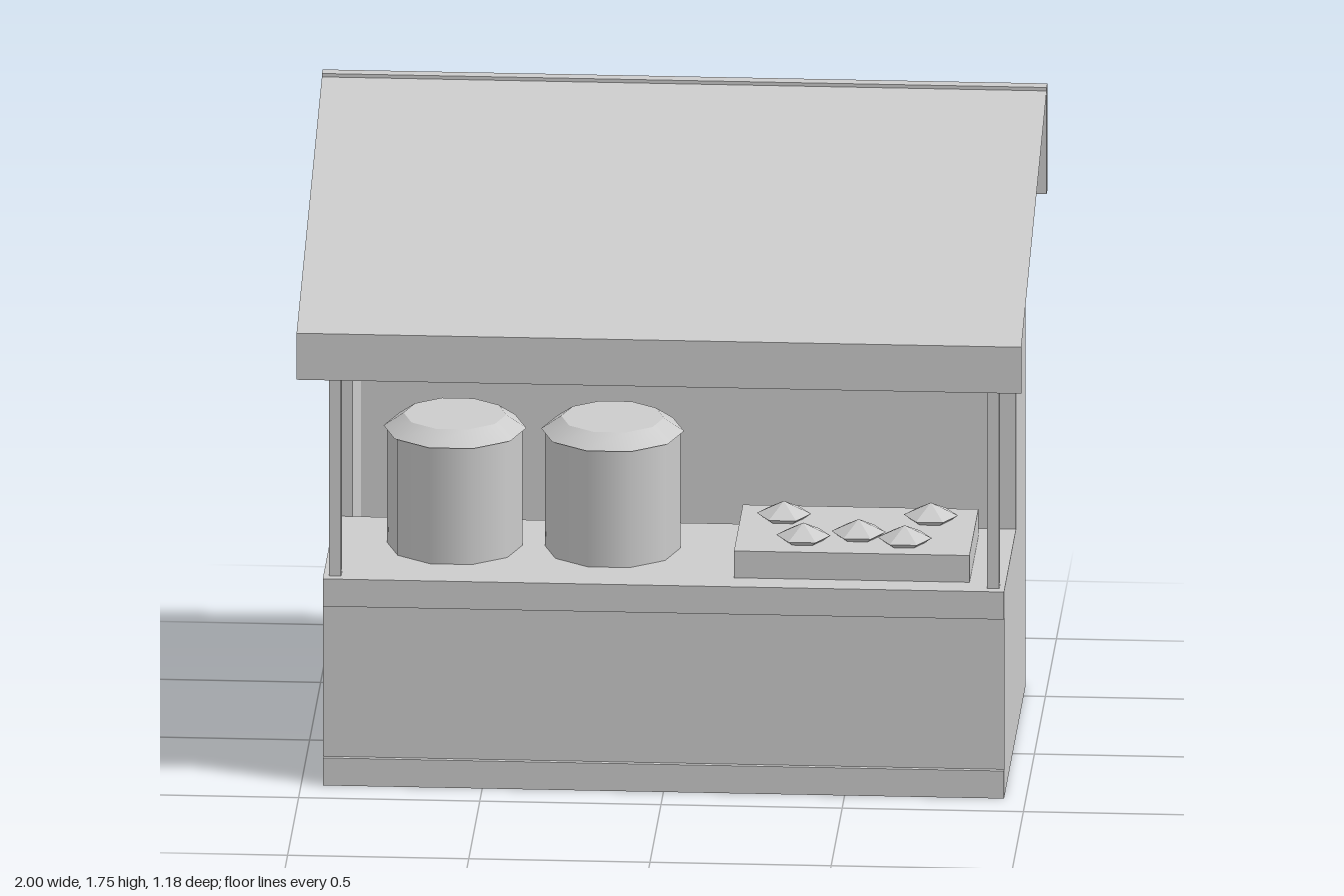
import * as THREE from 'three';

export function createModel() {
  const model = new THREE.Group();
  const grey = new THREE.MeshStandardMaterial({ color: 0xcccccc });
  grey.name = 'plain grey';
  const greySheet = new THREE.MeshStandardMaterial({ color: 0xcccccc, side: THREE.DoubleSide });
  greySheet.name = 'plain grey sheet';

  const add = (name, geometry, x = 0, y = 0, z = 0, material = grey, parent = model) => {
    const mesh = new THREE.Mesh(geometry, material);
    mesh.name = name;
    mesh.position.set(x, y, z);
    parent.add(mesh);
    return mesh;
  };
  // Box given by its limits on each axis
  const box = (name, x0, x1, y0, y1, z0, z1) =>
    add(name, new THREE.BoxGeometry(x1 - x0, y1 - y0, z1 - z0),
      (x0 + x1) / 2, (y0 + y1) / 2, (z0 + z1) / 2);

  const W = 0.94; // half width of the stall
  const BACK = -0.592;

  // Counter: its front profile steps back between the top and the plinth
  const profile = new THREE.Shape([
    [-0.155, 0], [0.39, 0], [0.39, 0.08], [0.376, 0.08],
    [0.376, 0.52], [0.39, 0.52], [0.39, 0.6], [-0.155, 0.6],
  ].map(([z, y]) => new THREE.Vector2(-z, y)));
  const counter = new THREE.ExtrudeGeometry(profile, { depth: 2 * W, bevelEnabled: false });
  counter.translate(0, 0, -W).rotateY(Math.PI / 2);
  add('counter', counter);

  // Walls around the open-floored standing space
  box('backWall', -W, W, 0, 1.44, BACK, -0.53);
  for (const s of [-1, 1]) {
    const side = s > 0 ? 'left' : 'right';
    const [a, b] = [s * 0.89, s * W].sort((p, q) => p - q);
    box(side + 'Wall', a, b, 0, 1.44, -0.53, -0.155);
    const c = s * 0.908;
    box(side + 'Post', c - 0.017, c + 0.017, 0.6, 1.285, 0.328, 0.362);
  }

  // Header board behind the awning
  box('headerBoard', -1, 1, 1.44, 1.75, BACK, -0.557);
  box('headerPanel', -0.9, 0.9, 1.5, 1.69, -0.557, -0.545);

  // Awning: a thin sloped sheet with a hanging valance
  const edge = [[1.74, -0.557], [1.38, 0.592], [1.245, 0.592]];
  ['awning', 'valance'].forEach((name, i) => {
    const [[y0, z0], [y1, z1]] = [edge[i], edge[i + 1]];
    const sheet = new THREE.PlaneGeometry(2, Math.hypot(y1 - y0, z1 - z0));
    sheet.rotateX(-Math.atan2(z1 - z0, y0 - y1));
    add(name, sheet, 0, (y0 + y1) / 2, (z0 + z1) / 2, greySheet);
  });

  // Ten-sided pots with flat-topped lids
  for (const x of [-0.595, -0.16]) {
    const pot = new THREE.Group();
    pot.name = 'pot';
    pot.position.set(x, 0.6, 0.064);
    pot.rotation.y = Math.PI / 2;
    add('potBody', new THREE.CylinderGeometry(0.187, 0.187, 0.34, 10), 0, 0.17, 0, grey, pot);
    add('potLid', new THREE.CylinderGeometry(0.142, 0.197, 0.038, 10), 0, 0.359, 0, grey, pot);
    model.add(pot);
  }

  // Tray with small six-sided buns
  box('tray', 0.19, 0.84, 0.6, 0.678, -0.09, 0.312);
  const bun = new THREE.LatheGeometry(
    [[0, 0], [0.055, 0], [0.075, 0.014], [0, 0.05]].map(([r, y]) => new THREE.Vector2(r, y)), 6);
  bun.rotateY(Math.PI / 2);
  const flatBun = bun.toNonIndexed();
  flatBun.computeVertexNormals();
  for (const [x, z] of [[0.31, 0.02], [0.375, 0.205], [0.525, 0.165], [0.655, 0.21], [0.715, 0.01]]) {
    add('bun', flatBun, x, 0.678, z);
  }

  return model;
}
